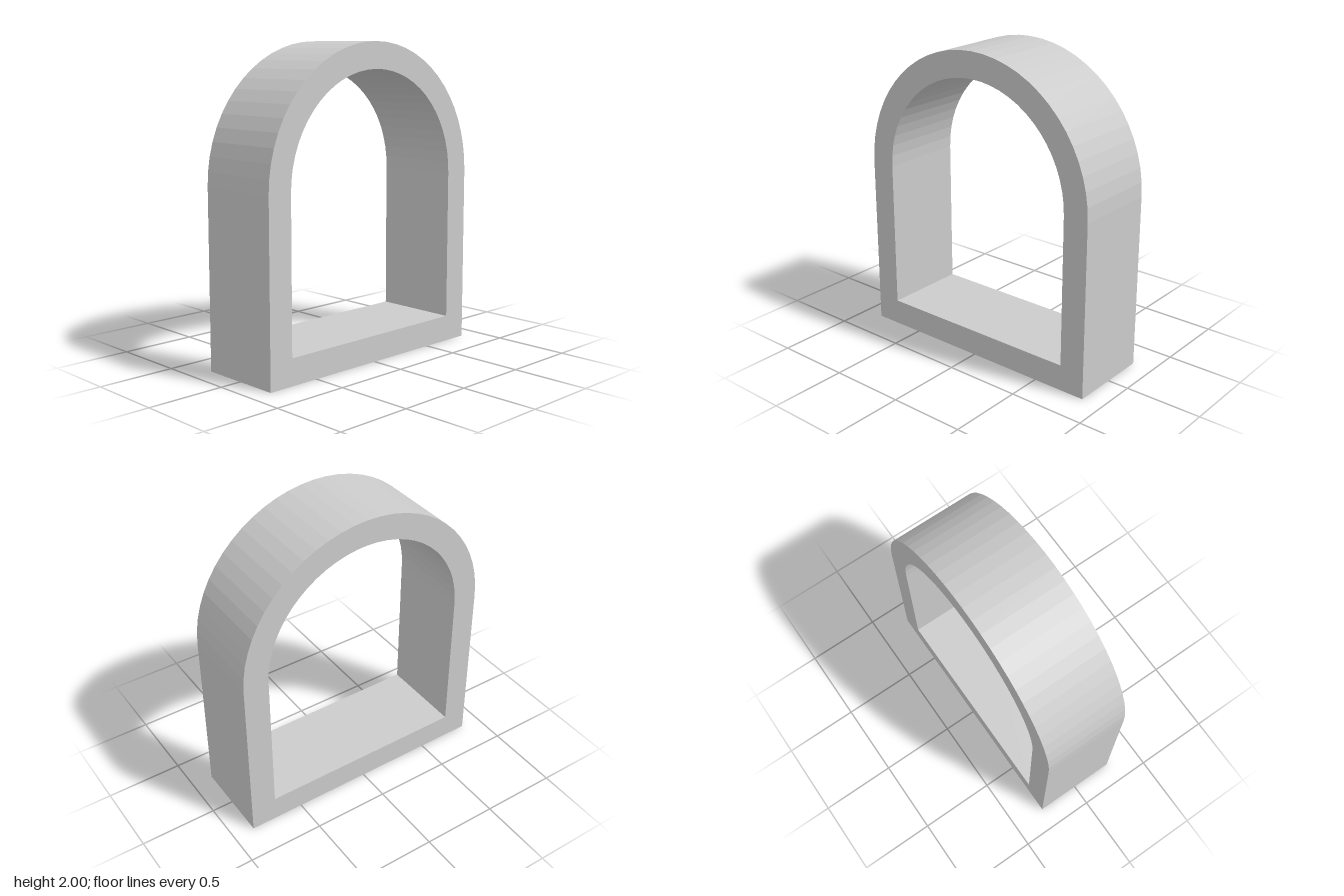
import * as THREE from 'three';

const SPRING_Y = 1.14; // height where the straight sides meet the arch
const WIDTH = 0.56;

// Traces a round-topped outline: flat base, straight sides, semicircular top
function traceArch(path, radius, baseY) {
  path.moveTo(-radius, baseY);
  path.lineTo(radius, baseY);
  path.lineTo(radius, SPRING_Y);
  path.absarc(0, SPRING_Y, radius, 0, Math.PI, false);
  path.closePath();
  return path;
}

export function createModel() {
  const group = new THREE.Group();
  group.name = 'archedFrame';

  // Outer outline with the opening cut through it
  const outline = traceArch(new THREE.Shape(), 0.86, 0);
  outline.holes.push(traceArch(new THREE.Path(), 0.693, 0.17));

  // Extruded and turned so the opening runs along x; the arch has 30 facets
  const geometry = new THREE.ExtrudeGeometry(outline, {
    depth: WIDTH,
    bevelEnabled: false,
    curveSegments: 15,
  });
  geometry.translate(0, 0, -WIDTH / 2);
  geometry.rotateY(Math.PI / 2);

  const material = new THREE.MeshStandardMaterial({ color: 0xcccccc, flatShading: true });
  const frame = new THREE.Mesh(geometry, material);
  frame.name = 'frame';
  group.add(frame);
  return group;
}
